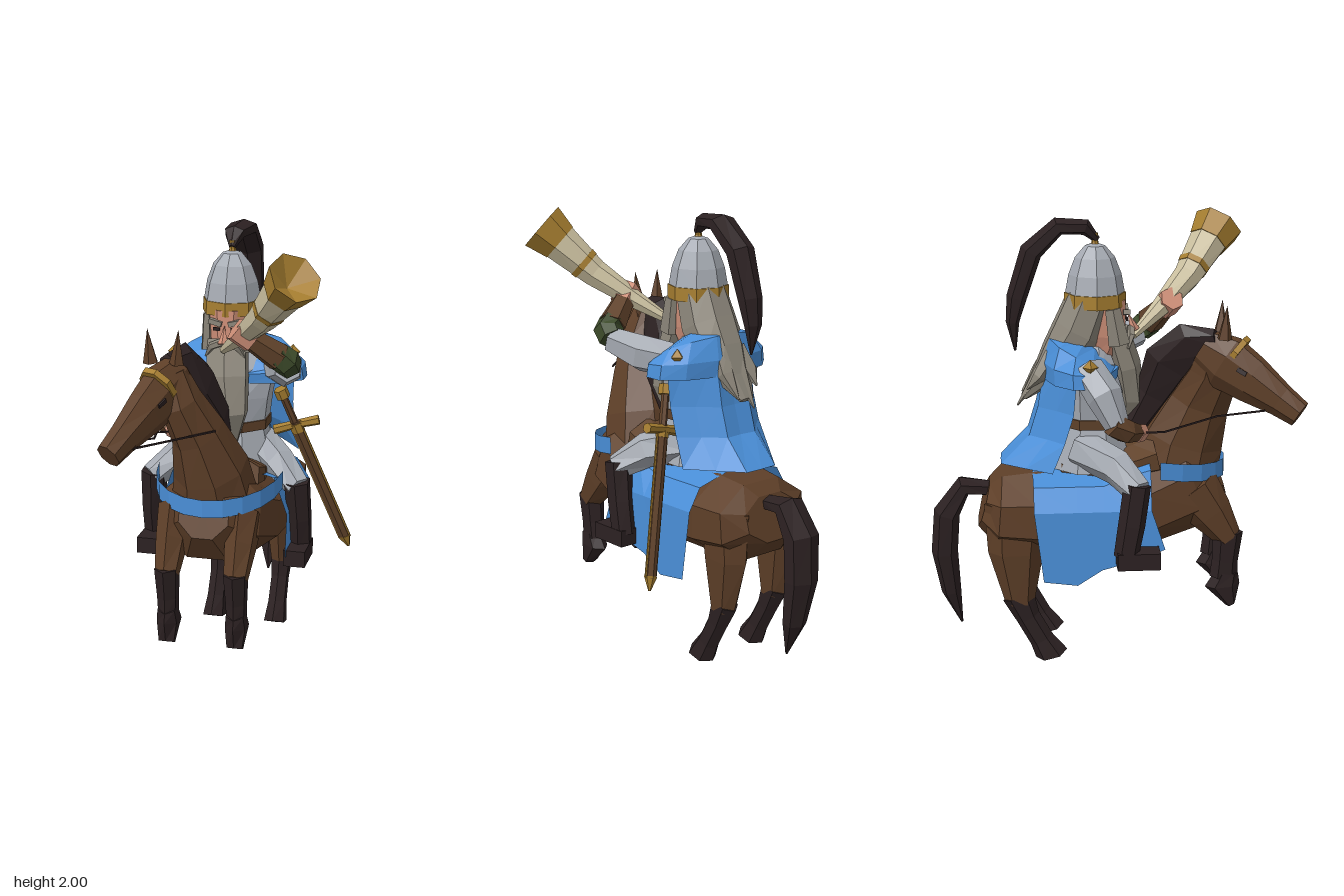
import * as THREE from 'three';

const mat = (name, color, side = THREE.FrontSide) =>
  Object.assign(new THREE.MeshStandardMaterial({ color, flatShading: true, side }), { name });
const M = {
  coat: mat('horse brown', 0x5e3f28),
  dark: mat('dark hair and boots', 0x2c2122),
  blue: mat('blue cloth', 0x4a8fd8, THREE.DoubleSide),
  steel: mat('steel grey', 0xa6abb3),
  gold: mat('gold', 0xa67e30),
  skin: mat('skin', 0xcf9079),
  cream: mat('horn cream', 0xcbc0a0),
  hair: mat('grey hair', 0x8c867a),
  olive: mat('olive sleeve', 0x3c4a2a),
  leather: mat('leather', 0x60422a),
};
const V = (a) => new THREE.Vector3(...a);
const CX = -0.05; // centre line of horse and rider

function build(pos, idx) {
  const g = new THREE.BufferGeometry();
  g.setAttribute('position', new THREE.Float32BufferAttribute(pos, 3));
  g.setIndex(idx);
  const flat = g.toNonIndexed();
  flat.computeVertexNormals();
  return flat;
}

// Elliptical rings along a path; each row is [x, y, z, half width, half depth].
function loft(rows, { sides = 8, ref = [1, 0, 0], open = false, dent = 0 } = {}) {
  const c = rows.map((r) => V(r.slice(0, 3))), pos = [], idx = [], last = rows.length - 1;
  let t;
  rows.forEach((r, k) => {
    t = c[Math.min(k + 1, last)].clone().sub(c[Math.max(k - 1, 0)]).normalize();
    const s = V(ref).addScaledVector(t, -V(ref).dot(t)).normalize();
    const w = t.clone().cross(s);
    for (let i = 0; i < sides; i++) {
      const a = ((i + 0.5) / sides) * Math.PI * 2;
      const p = c[k].clone().addScaledVector(s, r[3] * Math.cos(a)).addScaledVector(w, (r[4] ?? r[3]) * Math.sin(a));
      pos.push(p.x, Math.max(0, p.y), p.z);
      const j = (i + 1) % sides, A = k * sides, B = A + sides;
      if (k < last) idx.push(A + i, A + j, B + j, A + i, B + j, B + i);
    }
  });
  if (!open) {
    const n = pos.length / 3, E = last * sides, end = c[last].clone().addScaledVector(t, -dent);
    pos.push(...c[0].toArray(), ...end.toArray());
    for (let i = 0; i < sides; i++) {
      const j = (i + 1) % sides;
      idx.push(n, j, i, n + 1, E + i, E + j);
    }
  }
  return build(pos, idx);
}

// Open cloth from rows of points.
function sheet(rows) {
  const n = rows[0].length, idx = [];
  for (let k = 0; k < rows.length - 1; k++)
    for (let i = 0; i < n - 1; i++) {
      const a = k * n + i, b = a + n;
      idx.push(a, b, b + 1, a, b + 1, a + 1);
    }
  return build(rows.flat(2), idx);
}

export function createModel() {
  const model = new THREE.Group();
  const add = (name, geo, m, parent = model) => {
    const mesh = new THREE.Mesh(geo, m);
    mesh.name = name;
    parent.add(mesh);
    return mesh;
  };
  const group = (name) => {
    const g = new THREE.Group();
    g.name = name;
    model.add(g);
    return g;
  };
  const cone = (name, at, r, h, m, parent, rx = 0, rz = 0) => {
    const k = add(name, new THREE.ConeGeometry(r, h, 5), m, parent);
    k.position.set(...at);
    k.rotation.set(rx, 0, rz);
  };

  // Horse body, neck and head
  const horse = group('horse');
  add('horseBody', loft([[CX, 0.71, -0.59, 0.17, 0.11], [CX, 0.69, -0.52, 0.27, 0.18], [CX, 0.69, -0.36, 0.295, 0.2],
    [CX, 0.68, -0.1, 0.28, 0.19], [CX, 0.72, 0.15, 0.28, 0.21], [CX, 0.8, 0.36, 0.24, 0.22], [CX, 0.84, 0.48, 0.12, 0.12]]), M.coat, horse);
  add('neck', loft([[CX, 0.82, 0.28, 0.2, 0.2], [-0.06, 1.0, 0.32, 0.165, 0.19], [-0.1, 1.18, 0.385, 0.115, 0.145],
    [-0.16, 1.33, 0.44, 0.09, 0.12], [-0.2, 1.45, 0.44, 0.07, 0.08]]), M.coat, horse);
  const across = [0.9, 0, 0.43];
  add('horseHead', loft([[-0.18, 1.44, 0.39, 0.07, 0.09], [-0.22, 1.38, 0.48, 0.085, 0.13], [-0.27, 1.31, 0.59, 0.075, 0.11],
    [-0.33, 1.23, 0.71, 0.06, 0.075], [-0.37, 1.175, 0.79, 0.055, 0.06]], { ref: across }), M.coat, horse);
  for (const x of [-0.285, -0.16]) cone('ear', [x, 1.57, 0.47], 0.034, 0.15, M.coat, horse, 0.05, (x + 0.22) * -1.2);
  add('mane', loft([[-0.22, 1.485, 0.44, 0.04, 0.045], [-0.18, 1.46, 0.345, 0.05, 0.105], [-0.12, 1.35, 0.255, 0.055, 0.13],
    [-0.07, 1.2, 0.185, 0.055, 0.09], [-0.05, 1.0, 0.07, 0.035, 0.05]], { sides: 6 }), M.dark, horse);
  add('browBand', loft([[-0.227, 1.42, 0.513, 0.084, 0.099], [-0.236, 1.405, 0.533, 0.083, 0.097]], { ref: across }), M.gold, horse);
  for (const s of [-1, 1]) {
    const eye = add('horseEye', new THREE.BoxGeometry(0.008, 0.02, 0.045), M.dark, horse);
    eye.position.set(-0.26 + s * 0.07, 1.36, 0.57 + s * 0.034);
    eye.rotation.set(0.5, -0.44, 0);
  }
  const star = add('blaze', new THREE.CylinderGeometry(0.022, 0.022, 0.008, 3), M.cream, horse);
  star.position.set(-0.295, 1.395, 0.625);
  star.rotation.x = 0.55;

  // Legs, mirrored about the centre line
  for (const s of [-1, 1]) {
    const x = -0.055 + s * 0.155;
    add('frontThigh', loft([[x, 0.8, 0.34, 0.08, 0.13], [x, 0.68, 0.43, 0.07, 0.1], [x, 0.56, 0.515, 0.055, 0.06]], { sides: 6 }), M.coat, horse);
    add('frontShin', loft([[x, 0.59, 0.51, 0.056, 0.07], [x, 0.45, 0.5, 0.048, 0.06], [x, 0.37, 0.495, 0.045, 0.065]], { sides: 6 }), M.dark, horse);
    add('frontHoof', loft([[x, 0.4, 0.515, 0.045, 0.05], [x, 0.33, 0.49, 0.052, 0.08], [x, 0.24, 0.53, 0.04, 0.025]], { sides: 6 }), M.dark, horse);
    add('rearThigh', loft([[x, 0.74, -0.44, 0.09, 0.15], [x, 0.52, -0.45, 0.08, 0.125], [x, 0.27, -0.435, 0.05, 0.065]], { sides: 6 }), M.coat, horse);
    add('rearShin', loft([[x, 0.31, -0.445, 0.054, 0.073], [x, 0.2, -0.4, 0.044, 0.055], [x, 0.09, -0.34, 0.046, 0.055],
      [x, 0, -0.295, 0.057, 0.08]], { sides: 6 }), M.dark, horse);
  }
  add('tail', loft([[CX, 0.77, -0.56, 0.05, 0.035], [CX, 0.785, -0.68, 0.08, 0.045], [CX, 0.66, -0.76, 0.09, 0.06],
    [-0.04, 0.47, -0.775, 0.085, 0.06], [-0.03, 0.27, -0.75, 0.06, 0.045], [-0.03, 0.11, -0.705, 0.005]], { sides: 6 }), M.dark, horse);

  // Tack: saddle cloth, chest strap, saddle and reins
  const tack = group('tack');
  const cloth = [[0.15, 0.56, 0.97, 0.21], [0.04, 0.51, 0.94, 0.08], [-0.06, 0.47, 0.9, -0.07], [-0.18, 0.4, 0.9, -0.18], [-0.37, 0.42, 0.9, -0.33]];
  add('saddleCloth', sheet(cloth.map(([z, low, top, zLow]) => [-1, -0.98, -0.78, 0, 0.78, 0.98, 1].map((u, i) =>
    [CX + u * 0.302, [low, 0.74, top - 0.06, top, top - 0.06, 0.74, low][i], i % 6 ? z : zLow]))), M.blue, tack);
  const arc = Array.from({ length: 11 }, (_, i) => ((i - 5) / 5) * 1.55);
  add('chestStrap', sheet([0.04, -0.04].map((h) => arc.map((a) =>
    [CX + 0.285 * Math.sin(a), 0.92 - 0.05 * Math.cos(a) + h, 0.18 + 0.33 * Math.cos(a)]))), M.blue, tack);
  add('saddle', loft([[CX, 0.89, -0.24, 0.12, 0.05], [CX, 0.88, -0.05, 0.18, 0.05], [CX, 0.91, 0.1, 0.2, 0.08], [CX, 0.93, 0.19, 0.19, 0.1]]), M.leather, tack);
  const rein = (...pts) => add('rein', loft(pts.map((p) => [...p, 0.005]), { sides: 4 }), M.dark, tack);
  rein([-0.29, 1.19, 0.72], [0, 1.21, 0.46]);
  rein([-0.35, 1.19, 0.64], [-0.28, 1.15, 0.44], [-0.34, 1.1, 0.2], [-0.27, 1.08, 0.1]);

  // Rider torso and legs
  const rider = group('rider');
  add('mailCoat', loft([[CX, 0.88, -0.1, 0.2, 0.19], [CX, 1.07, -0.1, 0.155, 0.145], [CX, 1.22, -0.1, 0.175, 0.15],
    [CX, 1.36, -0.12, 0.2, 0.13], [CX, 1.45, -0.1, 0.08]]), M.steel, rider);
  add('belt', loft([[CX, 1.075, -0.1, 0.166, 0.156], [CX, 1.12, -0.1, 0.168, 0.158]]), M.leather, rider);
  for (const s of [-1, 1]) {
    const x = (d) => -0.058 + s * d;
    add('thigh', loft([[x(0.1), 0.98, -0.15, 0.09, 0.09], [x(0.24), 0.93, 0.0, 0.075, 0.08], [x(0.345), 0.85, 0.085, 0.058, 0.06]], { sides: 6 }), M.steel, rider);
    add('boot', loft([[x(0.335), 0.88, 0.08, 0.062, 0.06], [x(0.345), 0.7, 0.055, 0.056, 0.06], [x(0.345), 0.55, 0.03, 0.055, 0.055]], { sides: 6 }), M.dark, rider);
    add('bootFoot', new THREE.BoxGeometry(0.1, 0.075, 0.19), M.dark, rider).position.set(x(0.345), 0.54, 0.085);
  }

  // Arms
  add('leftUpperArm', loft([[0.13, 1.36, -0.12, 0.08], [0.2, 1.38, 0.0, 0.085], [0.245, 1.42, 0.15, 0.062]], { sides: 6 }), M.steel, rider);
  add('leftElbow', loft([[0.25, 1.43, 0.15, 0.06], [0.245, 1.46, 0.185, 0.065], [0.205, 1.49, 0.2, 0.062]], { sides: 6 }), M.olive, rider);
  add('leftForearm', loft([[0.215, 1.48, 0.195, 0.066], [0.1, 1.57, 0.25, 0.05]], { sides: 6, ref: [0, 0, 1] }), M.leather, rider);
  add('leftHand', loft([[0.11, 1.56, 0.25, 0.057], [0.04, 1.615, 0.275, 0.057]], { sides: 6, ref: [0, 0, 1] }), M.skin, rider);
  add('rightUpperArm', loft([[-0.27, 1.37, -0.13, 0.075], [-0.36, 1.27, -0.06, 0.08], [-0.395, 1.15, -0.01, 0.055]], { sides: 6 }), M.steel, rider);
  add('rightForearm', loft([[-0.4, 1.16, -0.03, 0.058], [-0.385, 1.12, 0.03, 0.055], [-0.3, 1.09, 0.08, 0.042]], { sides: 6, ref: [0, 1, 0] }), M.leather, rider);
  add('rightHand', loft([[-0.31, 1.09, 0.075, 0.045], [-0.23, 1.07, 0.11, 0.042]], { sides: 6, ref: [0, 1, 0] }), M.skin, rider);

  // Mantle, cape and shoulder studs
  add('mantle', loft([[CX, 1.3, -0.15, 0.325, 0.17], [CX, 1.36, -0.15, 0.315, 0.175], [CX, 1.41, -0.14, 0.25, 0.165],
    [CX, 1.45, -0.11, 0.1, 0.1]], { sides: 12, open: true }), M.blue, rider);
  const cape = [[1.4, -0.32, 0.26, 0.15], [1.17, -0.36, 0.25, 0.17], [1.04, -0.4, 0.25, 0.17], [0.91, -0.535, 0.26, 0.25]];
  add('cape', sheet(cape.map(([y, z, w, d]) => [-1, -0.66, -0.33, 0, 0.33, 0.66, 1].map((u, i) =>
    [CX + w * u, y, z + d * u * u + (i % 2) * 0.025]))), M.blue, rider);
  for (const [x, y, z] of [[-0.345, 1.395, -0.12], [0.19, 1.4, -0.225]])
    add('shoulderStud', new THREE.OctahedronGeometry(0.034), M.gold, rider).position.set(x, y, z);

  // Head, beard and hair
  const hx = -0.06;
  add('face', loft([[hx, 1.4, -0.06, 0.07], [hx, 1.48, -0.04, 0.09, 0.1], [hx, 1.63, -0.05, 0.1, 0.11]]), M.skin, rider);
  cone('nose', [hx, 1.535, 0.08], 0.025, 0.085, M.skin, rider, -0.35);
  for (const s of [-1, 1]) {
    add('eye', new THREE.BoxGeometry(0.03, 0.014, 0.008), M.dark, rider).position.set(hx + s * 0.04, 1.555, 0.058);
    const brow = add('eyebrow', new THREE.BoxGeometry(0.06, 0.022, 0.03), M.hair, rider);
    brow.position.set(hx + s * 0.045, 1.585, 0.055);
    brow.rotation.z = s * 0.25;
    add('moustache', loft([[hx, 1.505, 0.08, 0.02], [hx + s * 0.06, 1.48, 0.075, 0.018], [hx + s * 0.09, 1.43, 0.06, 0.005]], { sides: 5, ref: [0, 0, 1] }), M.hair, rider);
    add('sideburn', loft([[hx + s * 0.1, 1.61, -0.01, 0.018, 0.035], [hx + s * 0.095, 1.45, 0.02, 0.025, 0.05]], { sides: 5 }), M.hair, rider);
  }
  add('beard', loft([[hx, 1.5, 0.01, 0.1, 0.06], [CX, 1.34, 0.06, 0.105, 0.065], [-0.03, 1.18, 0.085, 0.085, 0.06], [-0.02, 1.02, 0.06, 0.012]], { sides: 6 }), M.hair, rider);
  add('hair', loft([[hx, 1.64, -0.1, 0.12, 0.11], [hx, 1.5, -0.155, 0.135, 0.12], [hx, 1.38, -0.235, 0.13, 0.1],
    [hx, 1.28, -0.325, 0.09, 0.05], [hx, 1.2, -0.4, 0.04, 0.015]]), M.hair, rider);
  for (const [dx, y] of [[-0.08, 1.25], [-0.02, 1.165], [0.06, 1.21]])
    add('hairLock', loft([[hx + dx * 0.7, 1.4, -0.27, 0.05, 0.045], [hx + dx, 1.31, -0.335, 0.045, 0.03], [hx + dx * 0.9, y, -0.43 + (y - 1.165) * 0.5, 0.004]], { sides: 5 }), M.hair, rider);

  // Helmet and plume
  const helmet = group('helmet');
  const lathe = (name, pts, m) => add(name, new THREE.LatheGeometry(pts.map((p) => new THREE.Vector2(...p)), 8), m, helmet).position.set(hx, 0, -0.08);
  lathe('helmetDome', [[0.132, 1.668], [0.117, 1.75], [0.088, 1.825], [0.045, 1.875], [0, 1.89]], M.steel);
  lathe('helmetBand', [[0.1, 1.608], [0.138, 1.61], [0.136, 1.67], [0.125, 1.671]], M.gold);
  lathe('helmetSpike', [[0.028, 1.865], [0.015, 1.89], [0.014, 1.93], [0, 1.93]], M.gold);
  add('plume', loft([[hx, 1.9, -0.07, 0.015], [hx, 1.955, -0.12, 0.05, 0.035], [-0.05, 1.96, -0.24, 0.07, 0.04], [-0.05, 1.85, -0.36, 0.07, 0.05],
    [-0.05, 1.65, -0.425, 0.06, 0.045], [-0.05, 1.54, -0.445, 0.045, 0.03], [-0.05, 1.41, -0.435, 0.005]], { sides: 6 }), M.dark, helmet);

  // War horn
  const horn = group('horn');
  add('hornBody', loft([[-0.06, 1.47, 0.09, 0.018], [0.06, 1.575, 0.23, 0.045], [0.18, 1.69, 0.36, 0.065], [0.295, 1.83, 0.47, 0.09]], { sides: 7 }), M.cream, horn);
  add('hornRing', loft([[0.207, 1.723, 0.386, 0.074], [0.222, 1.741, 0.4, 0.077]], { sides: 7 }), M.gold, horn);
  add('hornBell', loft([[0.293, 1.828, 0.468, 0.093], [0.352, 1.9, 0.525, 0.118]], { sides: 7, dent: 0.08 }), M.gold, horn);

  // Sheathed sword on the left hip
  const sword = group('sword'), top = V([0.155, 1.25, -0.11]), tip = V([0.45, 0.42, -0.34]);
  const part = (name, a, b, w, d, m, w2 = w) => add(name, loft([[...top.clone().lerp(tip, a), w, d],
    [...top.clone().lerp(tip, b), w2, w2 < w ? 0.004 : d]], { sides: 6 }), m, sword);
  part('pommel', 0, 0.05, 0.032, 0.032, M.gold);
  part('grip', 0.04, 0.21, 0.018, 0.018, M.leather);
  part('scabbard', 0.2, 0.94, 0.028, 0.018, M.leather);
  part('scabbardEdge', 0.2, 0.94, 0.036, 0.006, M.gold);
  part('scabbardThroat', 0.21, 0.26, 0.033, 0.022, M.gold);
  part('scabbardTip', 0.93, 1, 0.034, 0.02, M.gold, 0.006);
  add('crossGuard', loft([[0.12, 1.04, -0.15, 0.024], [0.22, 1.07, -0.165, 0.02], [0.325, 1.095, -0.18, 0.024]], { sides: 6, ref: [0, 0, 1] }), M.gold, sword);

  return model;
}
